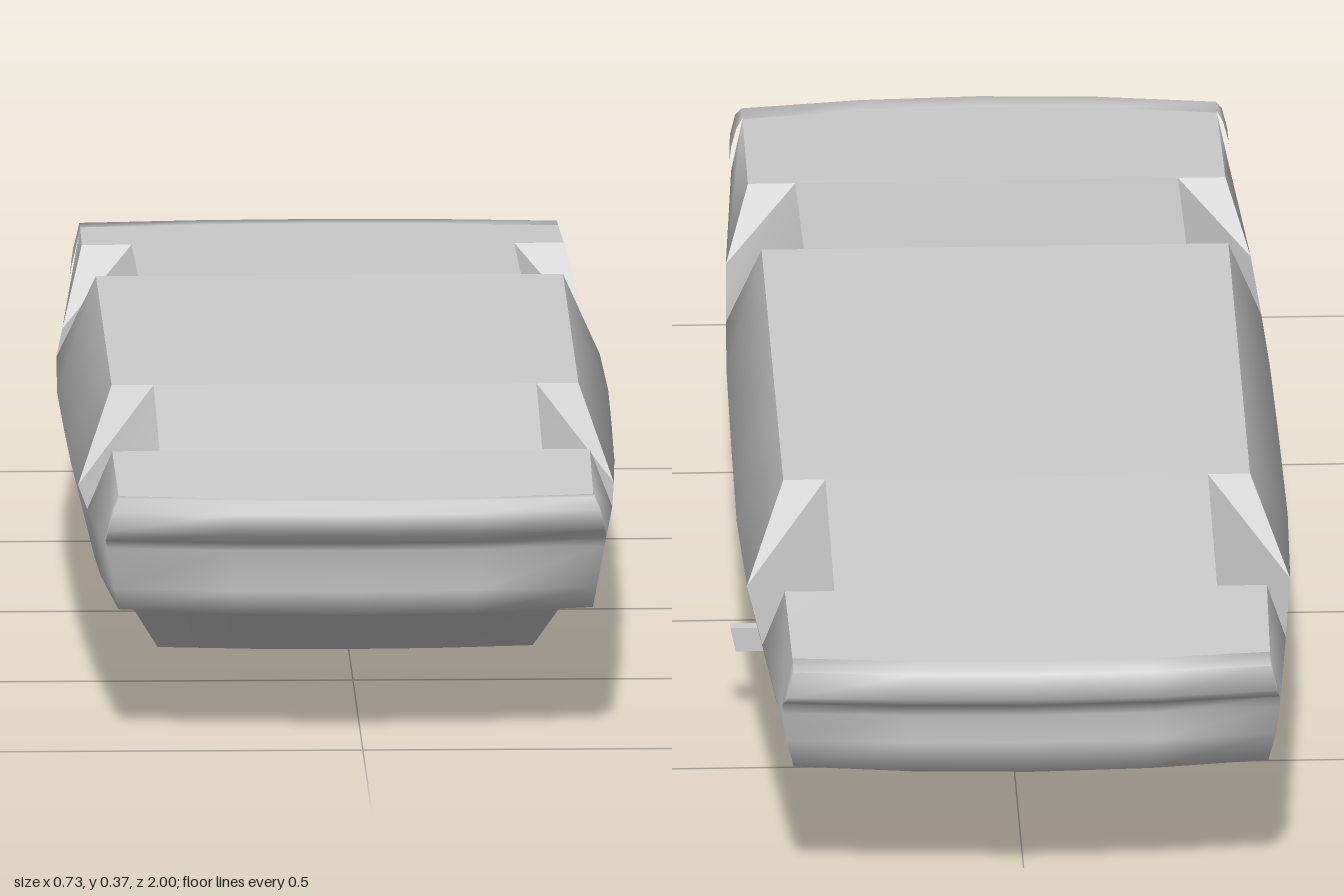
import * as THREE from 'three';
import { mergeGeometries, toCreasedNormals } from 'three/addons/utils/BufferGeometryUtils.js';

// Surface through equally long rows of [x, y, z] points, leaving out unwanted cells
function grid(rows, keep = () => true) {
  const n = rows[0].length, index = [];
  for (let i = 0; i < rows.length - 1; i++) {
    for (let j = 0; j < n - 1; j++) {
      const a = i * n + j, b = a + n;
      if (keep(i, j)) index.push(a, a + 1, b + 1, a, b + 1, b);
    }
  }
  const g = new THREE.BufferGeometry();
  g.setAttribute('position', new THREE.Float32BufferAttribute(rows.flat(2), 3));
  g.setIndex(index);
  return g;
}

// Stations from one end to the other:
// top z, x, y | belt z, x, y | shoulder x, y | lower z, x, y | crown | end bulge
const FRONT = [
  [0.92, 0.31, 0.325, 0.915, 0.325, 0.255, 0.315, 0.2, 0.905, 0.31, 0.172, 0.004, 0.03],
  [0.67, 0.312, 0.338, 0.61, 0.343, 0.25, 0.325, 0.16, 0.6, 0.3, 0.151, 0.006, 0],
  [0.67, 0.25, 0.338, 0.61, 0.343, 0.25, 0.325, 0.16, 0.6, 0.3, 0.151, 0.006, 0],
  [0.37, 0.25, 0.37, 0.42, 0.35, 0.247, 0.33, 0.16, 0.49, 0.305, 0.146, 0.006, 0],
  [0.37, 0.305, 0.37, 0.42, 0.35, 0.247, 0.33, 0.16, 0.49, 0.305, 0.146, 0.006, 0],
  [0.2, 0.305, 0.37, 0.25, 0.355, 0.245, 0.323, 0.14, 0.37, 0.245, 0.022, 0.004, 0],
  [0, 0.305, 0.37, 0, 0.358, 0.245, 0.325, 0.14, 0, 0.248, 0.008, 0.007, 0],
];
const REAR = [
  [-0.2, 0.305, 0.37, -0.25, 0.36, 0.245, 0.325, 0.14, -0.18, 0.248, 0.01, 0.005, 0],
  [-0.41, 0.305, 0.37, -0.48, 0.355, 0.25, 0.33, 0.15, -0.42, 0.31, 0.142, 0.008, 0],
  [-0.41, 0.25, 0.37, -0.48, 0.355, 0.25, 0.33, 0.15, -0.42, 0.31, 0.142, 0.008, 0],
  [-0.74, 0.25, 0.35, -0.68, 0.342, 0.25, 0.325, 0.175, -0.68, 0.31, 0.16, 0.006, 0],
  [-0.74, 0.315, 0.35, -0.68, 0.342, 0.25, 0.325, 0.175, -0.68, 0.31, 0.16, 0.006, 0],
  [-0.935, 0.312, 0.337, -0.935, 0.325, 0.26, 0.32, 0.22, -0.93, 0.31, 0.182, 0.004, -0.02],
];
const STATIONS = [...FRONT, ...REAR];
const WELL_STARTS = [1, 8]; // each wheel cut-out spans three cells from here
const ACROSS = [1, 0.5, 0, -0.5, -1];

const curve = (u) => 1 - u * u;

// Flat floor line across one station
const floorLine = ([zt, xt, yt, , , , , , , , , , bulge]) =>
  ACROSS.map((u) => [-u * xt, yt, zt + bulge * curve(u)]);

// Cross-section from one floor edge, under the roof, to the other floor edge
function section([zt, xt, yt, zb, xb, yb, xs, ys, zl, xl, yl, crown, bulge]) {
  const zs = (zb + zl) / 2;
  return [
    [xt, yt, zt], [xb, yb, zb], [xs, ys, zs],
    ...ACROSS.map((u) => [u * xl, yl - crown * curve(u), zl + bulge * curve(u)]),
    [-xs, ys, zs], [-xb, yb, zb], [-xt, yt, zt],
  ];
}

// End panel with its bumper lip; rows are [z, y, x] from the floor edge down
function endPanel(profile, bulge, crown) {
  const dir = Math.sign(bulge), edge = profile[0][0];
  const us = [1, ...ACROSS, -1].map((u) => u * dir);
  return grid(profile.map(([z, y, x], i) => us.map((u, j) => {
    const returned = j === 0 || j === us.length - 1; // lip returns to the body side
    const zz = returned ? dir * Math.min(dir * z, dir * edge) : z;
    const drop = i === profile.length - 1 ? crown * curve(u) : 0;
    return [u * x, y - drop, zz + bulge * curve(u)];
  })));
}

export function createModel() {
  const model = new THREE.Group();
  model.name = 'carShell';
  const paint = new THREE.MeshStandardMaterial({ color: 0xcccccc });
  paint.name = 'lightGrey';
  const add = (name, geometry) => {
    const mesh = new THREE.Mesh(geometry, paint);
    mesh.name = name;
    mesh.position.x = -0.007; // centres the width, mirror included
    model.add(mesh);
    return mesh;
  };

  const sections = STATIONS.map(section);
  const last = sections[0].length - 2;

  // Overturned body: smooth sides, roof and both ends in one skin
  const inWell = (i, j) => (j === 0 || j === last) && WELL_STARTS.some((s) => i >= s && i < s + 3);
  const sides = grid(sections, (i, j) => !inWell(i, j));
  const front = endPanel([
    [0.92, 0.325, 0.31], [0.952, 0.327, 0.31], [0.966, 0.312, 0.318], [0.963, 0.285, 0.325],
    [0.92, 0.266, 0.327], [0.915, 0.255, 0.325], [0.91, 0.2, 0.315], [0.905, 0.172, 0.31],
  ], 0.03, 0.004);
  const back = endPanel([
    [-0.935, 0.337, 0.312], [-0.978, 0.335, 0.312], [-0.98, 0.3, 0.32], [-0.965, 0.287, 0.323],
    [-0.94, 0.275, 0.325], [-0.935, 0.26, 0.325], [-0.9325, 0.22, 0.32], [-0.93, 0.182, 0.31],
  ], -0.02, 0.004);
  add('body', toCreasedNormals(mergeGeometries([sides, front, back]), 1.55));

  // Flat floor on top
  add('floor', toCreasedNormals(grid(STATIONS.map(floorLine)), 0.05));

  // Wheel cut-outs with crisp facets
  add('wheelWells', toCreasedNormals(grid(sections, inWell), 0.3));

  // Small tapered wing mirror on one side
  const mirror = new THREE.BoxGeometry(0.05, 0.033, 0.016);
  const p = mirror.attributes.position;
  for (let i = 0; i < p.count; i++) {
    if (p.getY(i) < 0) p.setX(i, p.getX(i) * 0.72);
  }
  mirror.computeVertexNormals();
  add('wingMirror', mirror).position.set(0.34, 0.121, -0.345);

  return model;
}
